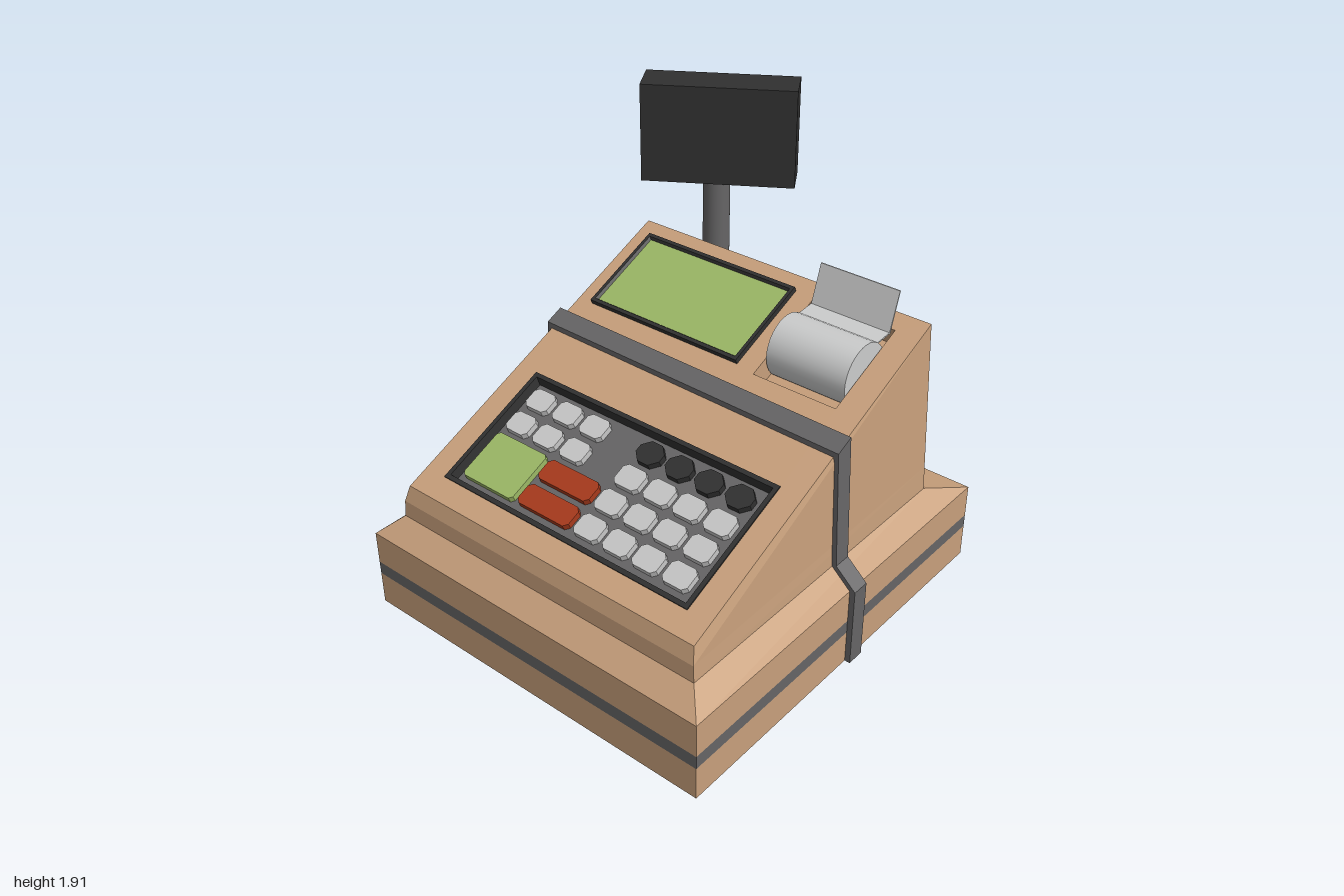
import * as THREE from 'three';

const paint = (name, color) => {
  const m = new THREE.MeshStandardMaterial({ color });
  m.name = name;
  return m;
};

// Rectangle ring of four corners, counter-clockwise seen from above
const rect = (x0, x1, z0, z1, y, yBack = y) =>
  [[x0, y, z1], [x1, y, z1], [x1, yBack, z0], [x0, yBack, z0]];

// Skin a list of four-corner rings with flat faces, optionally closing the ends
function loft(rings, capStart = false, capEnd = false) {
  const pos = [];
  const quad = (a, b, c, d) => pos.push(...a, ...b, ...c, ...a, ...c, ...d);
  for (let r = 0; r < rings.length - 1; r++) {
    const lo = rings[r], hi = rings[r + 1];
    for (let i = 0; i < 4; i++) {
      const j = (i + 1) % 4;
      quad(lo[i], lo[j], hi[j], hi[i]);
    }
  }
  if (capStart) quad(...[...rings[0]].reverse());
  if (capEnd) quad(...rings[rings.length - 1]);
  const g = new THREE.BufferGeometry();
  g.setAttribute('position', new THREE.Float32BufferAttribute(pos, 3));
  g.computeVertexNormals();
  return g;
}

function add(parent, name, geometry, material, x = 0, y = 0, z = 0) {
  const m = new THREE.Mesh(geometry, material);
  m.name = name;
  m.position.set(x, y, z);
  parent.add(m);
  return m;
}

const polygon = (pts) => new THREE.Shape(pts.map(([x, y]) => new THREE.Vector2(x, y)));

// Flat key with cut corners, bottom at y = 0
function keyGeometry(w, d, h, cut) {
  const a = w / 2, b = d / 2;
  const s = polygon([[-a + cut, -b], [a - cut, -b], [a, -b + cut], [a, b - cut],
    [a - cut, b], [-a + cut, b], [-a, b - cut], [-a, -b + cut]]);
  return new THREE.ExtrudeGeometry(s, { depth: h, bevelEnabled: false }).rotateX(-Math.PI / 2);
}

export function createModel() {
  const root = new THREE.Group();
  root.name = 'cashRegister';
  const tan = paint('tan casing', 0xc8a07c);
  const grey = paint('dark grey trim', 0x666566);
  const black = paint('black plastic', 0x303030);
  const green = paint('green', 0x9cb866);
  const red = paint('red', 0xa83a1c);
  const keyGrey = paint('light grey keys', 0xc6c6c6);
  const white = paint('paper', 0xcbcccc);
  white.side = THREE.DoubleSide;

  // Wide base with a flush stripe and sloping shoulders
  const base = (y) => rect(-0.86, 0.86, -0.85, 1, y);
  add(root, 'baseLower', loft([base(0), base(0.15)], true), tan);
  add(root, 'baseStripe', loft([base(0.15), base(0.21)]), grey);
  add(root, 'baseUpper', loft([base(0.21), base(0.36), rect(-0.77, 0.77, -0.62, 0.905, 0.44)]), tan);

  // Wedge body, open where the sloping top sits
  add(root, 'bodyWalls', loft([
    rect(-0.77, 0.77, -0.62, 0.905, 0.44),
    rect(-0.765, 0.765, -0.617, 0.902, 0.515, 0.55),
    [[-0.75, 0.585, 0.88], [0.75, 0.585, 0.88], [0.74, 1.235, -0.6], [-0.74, 1.235, -0.6]],
  ]), tan);

  // Everything on the slope shares one tilted frame: y is its normal, z runs down it
  const tilt = Math.atan2(0.65, 1.48), c = Math.cos(tilt);
  const slope = new THREE.Group();
  slope.name = 'slopingTop';
  slope.rotation.x = tilt;
  slope.position.y = 0.585 + 0.88 * Math.tan(tilt);
  root.add(slope);

  const rectHole = (x0, x1, z0, z1) =>
    polygon([[x0, -z1 / c], [x0, -z0 / c], [x1, -z0 / c], [x1, -z1 / c]]);
  const top = polygon([[-0.75, -0.88 / c], [0.75, -0.88 / c], [0.74, 0.6 / c], [-0.74, 0.6 / c]]);
  top.holes.push(rectHole(-0.64, 0.64, 0.24, 0.785), rectHole(0.225, 0.625, -0.52, -0.125));
  add(slope, 'topPanel', new THREE.ShapeGeometry(top).rotateX(-Math.PI / 2), tan);
  const onSlope = (x0, x1, z0, z1, y) => rect(x0, x1, z0 / c, z1 / c, y);

  // Sunken keypad
  add(slope, 'keypadFrame', loft([
    onSlope(-0.64, 0.64, 0.24, 0.785, 0), onSlope(-0.64, 0.64, 0.24, 0.785, 0.006),
    onSlope(-0.62, 0.62, 0.258, 0.767, 0.006), onSlope(-0.612, 0.612, 0.266, 0.759, -0.035),
  ]), black);
  add(slope, 'keypadFloor', loft([onSlope(-0.612, 0.612, 0.266, 0.759, -0.035)], false, true), grey);

  // Keys
  const key = (name, x, z, w, d, mat, cut = 0.018) =>
    add(slope, name, keyGeometry(w, d / c, 0.028, cut), mat, x, -0.035, z / c);
  const rows = [0.335, 0.453, 0.57, 0.688];
  for (const x of [-0.53, -0.378, -0.226])
    for (const z of rows.slice(0, 2)) key('smallKey', x, z, 0.12, 0.088, keyGrey);
  for (const x of [0.072, 0.222, 0.37, 0.52])
    rows.forEach((z, i) => i === 0
      ? key('blackKey', x, z, 0.122, 0.094, black, 0.034)
      : key('numberKey', x, z, 0.122, 0.09, keyGrey));
  key('greenKey', -0.45, 0.63, 0.28, 0.215, green, 0.014);
  for (const z of rows.slice(2)) key('redKey', -0.152, z, 0.275, 0.09, red);

  // Raised operator display
  add(slope, 'displayFrame', loft([
    onSlope(-0.665, 0.132, -0.53, -0.138, 0), onSlope(-0.665, 0.132, -0.53, -0.138, 0.024),
    onSlope(-0.65, 0.117, -0.515, -0.153, 0.024), onSlope(-0.642, 0.109, -0.508, -0.16, 0.012),
  ]), black);
  add(slope, 'displayScreen', loft([onSlope(-0.642, 0.109, -0.508, -0.16, 0.012)], false, true), green);

  // Receipt printer: well, roll and the torn sheet
  add(slope, 'rollWell', loft([
    onSlope(0.225, 0.625, -0.52, -0.125, 0), onSlope(0.225, 0.625, -0.52, -0.125, -0.1),
  ], false, true), tan);
  add(root, 'paperRoll', new THREE.CylinderGeometry(0.137, 0.137, 0.38, 32).rotateZ(Math.PI / 2),
    white, 0.425, 1.077, -0.332);
  const sheet = polygon([[-0.41, 1.188], [-0.495, 1.196], [-0.551, 1.36],
    [-0.556, 1.36], [-0.501, 1.19], [-0.41, 1.182]]);
  // Shape x becomes depth, extrusion becomes width
  add(root, 'receipt', new THREE.ExtrudeGeometry(sheet, { depth: 0.38, bevelEnabled: false })
    .rotateY(-Math.PI / 2), white, 0.615, 0, 0);

  // Strap over the body, slightly skewed and following the slope on top
  const outer = [[0.885, 0], [0.885, 0.365], [0.79, 0.45], [0.767, 0.995]];
  const inner = [[0.85, 0], [0.85, 0.35], [0.755, 0.43], [0.73, 0.955]];
  const flip = (pts) => pts.map(([x, y]) => [-x, y]);
  const strapShape = polygon([...outer, ...flip(outer).reverse(), ...flip(inner), ...[...inner].reverse()]);
  const strap = new THREE.ExtrudeGeometry(strapShape, { depth: 0.08, bevelEnabled: false });
  strap.translate(0, 0, -0.035);
  const p = strap.attributes.position;
  for (let i = 0; i < p.count; i++) {
    const z = p.getZ(i) + 0.012 * p.getX(i);
    p.setZ(i, z);
    if (p.getY(i) > 0.9) p.setY(i, p.getY(i) - Math.tan(tilt) * z);
  }
  strap.computeVertexNormals();
  add(root, 'strap', strap, grey);

  // Customer display on a pole, screen facing backwards
  add(root, 'pole', new THREE.CylinderGeometry(0.06, 0.06, 1.14, 24), grey, -0.455, 0.93, -0.73);
  const head = new THREE.Group();
  head.name = 'customerDisplay';
  head.position.set(-0.455, 1.697, -0.752);
  head.rotation.set(-Math.PI / 2, 0.56, 0, 'YXZ');
  root.add(head);
  const face = (inset, y) => rect(-0.333 + inset, 0.333 - inset, -0.218 + inset, 0.218 - inset, y);
  add(head, 'headCase', loft([face(0, -0.09), face(0, 0.09), face(0.022, 0.09)], true), black);
  add(head, 'headBezel', loft([face(0.022, 0.09), face(0.045, 0.06)]), grey);
  add(head, 'headScreen', loft([face(0.045, 0.06)], false, true), green);

  return root;
}
